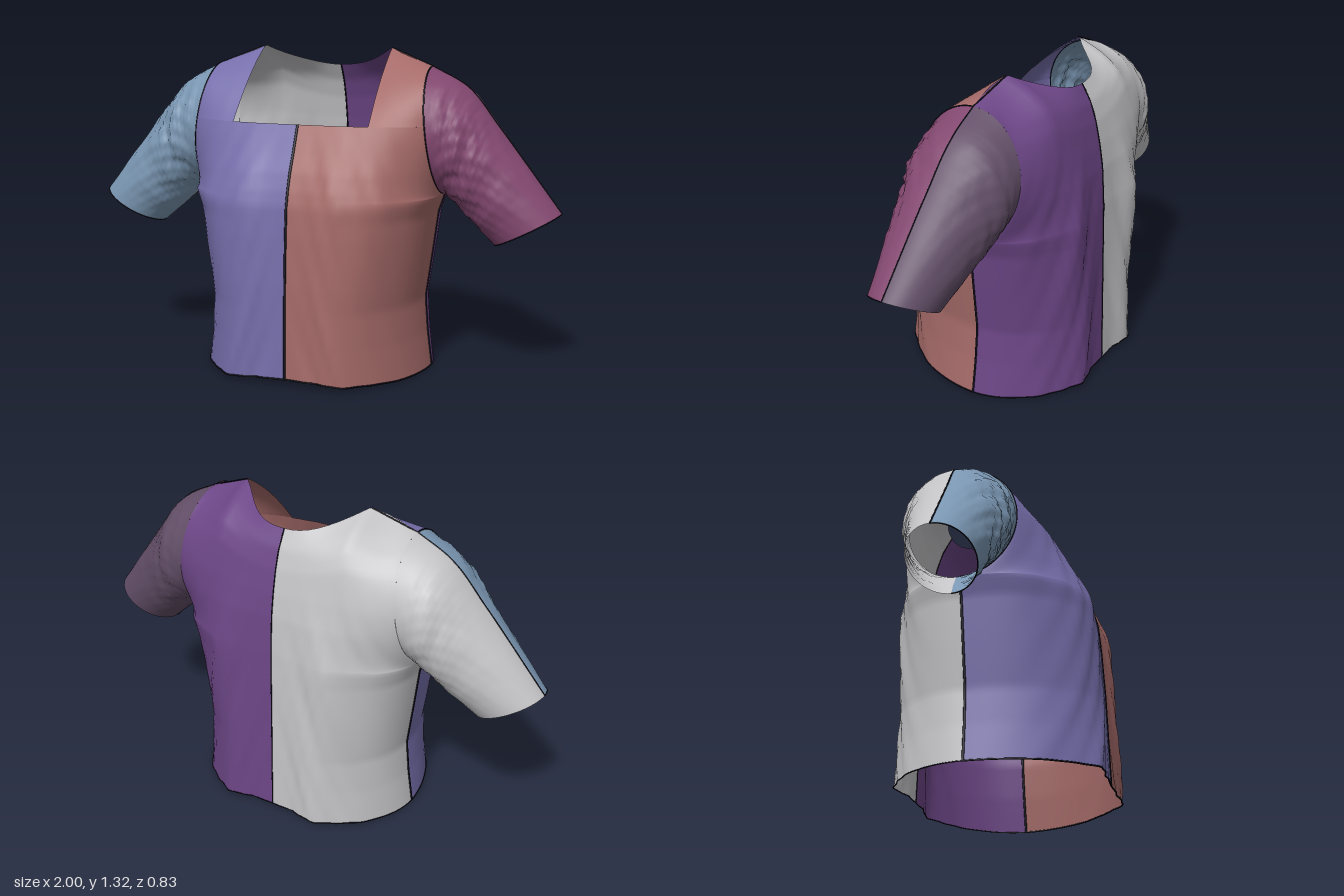
import * as THREE from 'three';

const material = (name, color) => {
  const m = new THREE.MeshStandardMaterial({ color, side: THREE.DoubleSide });
  m.name = name;
  return m;
};
const V = (x, y, z) => new THREE.Vector3(x, y, z);
const { smoothstep: ramp, lerp, clamp } = THREE.MathUtils;

// Piecewise-linear lookup in a list of [key, value] pairs
function look(table, k) {
  for (let i = 1; i < table.length; i++) {
    const [a, p] = table[i - 1], [b, q] = table[i];
    if (k <= b) return lerp(p, q, clamp((k - a) / (b - a), 0, 1));
  }
  return table[table.length - 1][1];
}

// Soft cloth folds
const folds = (a, b) =>
  Math.sin(a * 3.1 + 1.7 * Math.sin(b * 1.3)) * 0.6 + Math.sin(a * 7.3 + b * 4.1 + 1.2) * 0.4;

const UNDERARM = 0.74, NECK = 1.544;      // NECK: s of the square front neckline
const WAIST = [[0, 0.48], [0.2, 0.46], [0.4, 0.448], [0.68, 0.475], [0.9, 0.495], [1, 0.52]];

// Outer edge of the body panels: s 0..1 is the side seam, s 1..2 one half of the armhole
function edge(s, dir) {
  if (s <= 1) return V(look(WAIST, s), 0.01 + (UNDERARM - 0.01) * s, -0.055 - 0.015 * s);
  const t = (s - 1) * Math.PI;
  return V(0.49 + 0.03 * Math.cos(t), 0.995 - 0.255 * Math.cos(t), -0.07 + dir * 0.22 * Math.sin(t));
}

const FRONT_Z = [[0.01, 0.4], [0.4, 0.39], [0.6, 0.38], [0.72, 0.37], [0.78, 0.355], [0.85, 0.33], [0.92, 0.295], [1.03, 0.245]];
const BACK_Z = [[0.01, -0.395], [0.74, -0.38], [0.9, -0.37], [1, -0.355], [1.1, -0.335], [1.18, -0.31], [1.25, -0.27]];
const NAPE = [[1.5, 0], [1.7, 0.2], [1.8, 0.7], [1.9, 2.4], [1.95, 4], [2, 6.2]];

// Roundness of a cross-section: oval at the hem, boxy under the arm, flatter between the armholes
const roundness = (s) =>
  s < 1 ? 0.38 + 0.17 * (1 - s) : 0.38 + 0.48 * Math.sin(Math.PI * Math.min(s - 1, 0.5));
const across = (u, k) => Math.max(0, 1 - u ** 3) ** k;
const swell = (u, y) => 0.03 * Math.exp(-(((u - 0.48) / 0.22) ** 2)) * (1 - ramp(y, 0.68, 1.05));
const drape = (u, y, phase) =>
  0.01 * folds(u * 5 + y * 1.4 + phase, y * 3.4 + phase) * Math.sin(Math.PI * u) * (1 - ramp(y, 0.75, 1.15));

// Height of a row: evenly spaced inside the panel, following the armhole at its edge
function rowHeight(u, s, edgeY, topS, topY) {
  if (s <= 1) return edgeY;
  return lerp(lerp(UNDERARM, topY, (s - 1) / (topS - 1)), edgeY, u ** 4);
}

// Front panel below the neckline; u runs from the centre to the side
function front(u, s) {
  const e = edge(s, 1);
  const y = rowHeight(u, s, e.y, NECK, 1.03);
  const z = e.z + (look(FRONT_Z, y) - e.z) * across(u, roundness(s));
  const hem = 0.022 * (1 - u * u) * (1 - ramp(s, 0, 1));
  return V(e.x * u, y + hem, z + swell(u, y) + drape(u, y, 0));
}

// Shoulder strap beside the square neckline; q runs up to the shoulder
function strap(w, q) {
  const along = (r) => V(0.28, 1.03 + 0.29 * (1.35 * r - 0.35 * r * r), 0.225 - 0.325 * r)
    .lerp(edge(NECK + (2 - NECK) * r, 1), w);
  // The lower end follows the curve of the front panel
  const joint = front(0.586 + 0.414 * w, NECK).sub(along(0));
  return along(q).addScaledVector(joint, 1 - q);
}

// Back panel, rising to the neckline and shoulder
function back(u, s) {
  const e = edge(s, -1);
  const y = rowHeight(u, s, e.y, 2, 1.25);
  const z = e.z + (look(BACK_Z, y) - e.z) * across(u, roundness(s) + look(NAPE, s));
  const top = u < 0.6 ? -0.015 + 0.085 * (u / 0.6) ** 2 : 0.07 * (1 - u) / 0.4;
  const hem = 0.015 * (1 - u * u) * (1 - ramp(s, 0, 1));
  return V(e.x * u, y + hem + top * ramp(s, 1.3, 1.95), z - swell(u, y) - drape(u, y, 3));
}

// Sleeve between its upper and lower lines; a = 0 at the top, PI underneath
const upper = new THREE.CatmullRomCurve3([V(0.46, 1.25, 0), V(0.61, 1.168, 0), V(0.745, 1.01, 0), V(1, 0.69, 0)]);
const lower = new THREE.CatmullRomCurve3([V(0.52, 0.74, 0), V(0.56, 0.715, 0), V(0.645, 0.635, 0), V(0.74, 0.55, 0)]);
const DEPTH = [[0, 0.22], [0.33, 0.215], [0.66, 0.18], [1, 0.13]];
const MIDDLE = [[0, -0.07], [0.33, -0.07], [0.66, -0.055], [1, -0.03]];
function sleeve(a, r, dir) {
  const t = upper.getPoint(r), b = lower.getPoint(r);
  const p = t.clone().add(b).multiplyScalar(0.5);
  const half = t.sub(b).multiplyScalar(0.5);
  const fade = Math.sin(a) * Math.sin(Math.PI * r);
  const wrinkle = folds(r * 7 + a * 1.5, a * 3 - r * 4) + 0.5 * folds(r * 13 - a * 2, a * 5 + r * 6);
  const puff = 1 + (dir > 0 ? 0.055 : 0.02) * fade * wrinkle;
  p.addScaledVector(half, Math.cos(a) * puff);
  p.z = look(MIDDLE, r) + dir * look(DEPTH, r) * Math.sin(a) * puff;
  return p;
}

// Grid surface from fn(i, j) with i, j in 0..1; side -1 mirrors it to the right
function panel(name, mat, fn, nu, nv, side, flip) {
  const pos = [], index = [];
  for (let j = 0; j <= nv; j++) for (let i = 0; i <= nu; i++) {
    const p = fn(i / nu, j / nv);
    pos.push(p.x * side, p.y, p.z);
  }
  for (let j = 0; j < nv; j++) for (let i = 0; i < nu; i++) {
    const a = j * (nu + 1) + i, b = a + 1, c = a + nu + 1, d = c + 1;
    if ((side < 0) !== flip) index.push(a, c, b, b, c, d);
    else index.push(a, b, c, b, d, c);
  }
  const g = new THREE.BufferGeometry();
  g.setAttribute('position', new THREE.Float32BufferAttribute(pos, 3));
  g.setIndex(index);
  g.computeVertexNormals();
  const mesh = new THREE.Mesh(g, mat);
  mesh.name = name;
  return mesh;
}

// Thin seam along fn(k), k in 0..1
function seam(name, mat, fn, side, radius) {
  const points = [];
  for (let i = 0; i <= 24; i++) {
    const p = fn(i / 24);
    points.push(V(p.x * side, p.y, p.z));
  }
  const mesh = new THREE.Mesh(new THREE.TubeGeometry(new THREE.CatmullRomCurve3(points), 60, radius, 5), mat);
  mesh.name = name;
  return mesh;
}

export function createModel() {
  const shirt = new THREE.Group();
  shirt.name = 'shirt';
  const grey = material('light grey', 0xc4c3c6);
  const dark = material('seam black', 0x12101c);
  const sides = [
    { side: 1, label: 'left', front: material('salmon', 0xa46a68), back: material('purple', 0x6c4686),
      sleeveFront: material('plum', 0x834870), sleeveBack: material('dusky purple', 0x634f68) },
    { side: -1, label: 'right', front: material('periwinkle', 0x756eaa), back: grey,
      sleeveFront: material('steel blue', 0x7a96b2), sleeveBack: grey },
  ];
  const bend = (i) => Math.sin(i * Math.PI / 2);

  for (const { side, label, ...m } of sides) {
    // Cloth panels
    shirt.add(
      panel(label + 'FrontPanel', m.front, (i, j) => front(bend(i), j * NECK), 26, 60, side, false),
      panel(label + 'FrontShoulder', m.front, strap, 10, 16, side, false),
      panel(label + 'BackPanel', m.back, (i, j) => back(bend(i), j * 2), 22, 80, side, true),
      panel(label + 'SleeveFront', m.sleeveFront, (i, j) => sleeve(i * Math.PI, j, 1), 32, 48, side, true),
      panel(label + 'SleeveBack', m.sleeveBack, (i, j) => sleeve(i * Math.PI, j, -1), 32, 48, side, false),
    );
    // Seams
    shirt.add(
      seam(label + 'SideSeam', dark, (k) => edge(k, 1), side, 0.005),
      seam(label + 'ArmholeSeam', dark, (k) => edge(1 + k, 1), side, 0.003),
      seam(label + 'ShoulderSeam', dark, (k) => strap(k, 1), side, 0.003),
      seam(label + 'SleeveTopSeam', dark, (k) => sleeve(0, k, 1), side, 0.003),
      seam(label + 'CuffEdge', dark, (k) => sleeve(k * Math.PI, 1, 1), side, 0.0025),
      seam(label + 'FrontHem', dark, (k) => front(bend(k), 0), side, 0.0035),
      seam(label + 'BackHem', dark, (k) => back(bend(k), 0), side, 0.0025),
    );
  }
  shirt.add(
    seam('centreFrontSeam', dark, (k) => front(0, k * NECK), 1, 0.005),
    seam('centreBackSeam', dark, (k) => back(0, k * 2), 1, 0.003),
  );
  return shirt;
}
